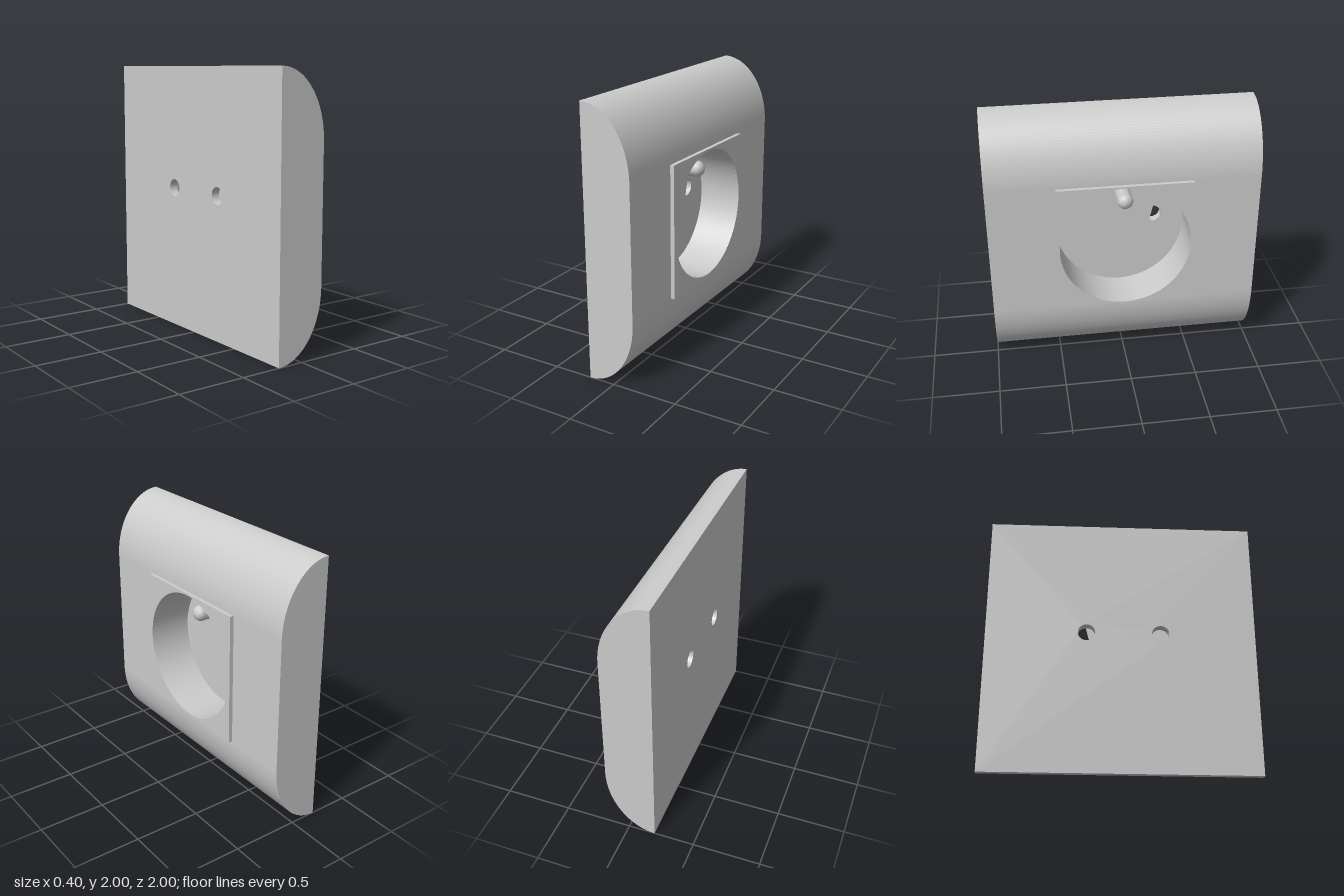
import * as THREE from 'three';

const BACK = -0.2, FLOOR = -0.135, FACE = 0.17, RIM = 0.2;
const RECESS_R = 0.488, HOLE_R = 0.065, HOLE_Y = 1.08;
const HOLE_Z = [-0.255, 0.295];
const SEG = 32;

const rect = (w, h) => new THREE.Shape([
  new THREE.Vector2(-w / 2, 1 - h / 2), new THREE.Vector2(w / 2, 1 - h / 2),
  new THREE.Vector2(w / 2, 1 + h / 2), new THREE.Vector2(-w / 2, 1 + h / 2),
]);
const circle = (x, y, r) => new THREE.Path().absarc(x, y, r, 0, Math.PI * 2, false);

export function createModel() {
  const group = new THREE.Group();
  const solid = new THREE.MeshStandardMaterial({ color: 0xcccccc });
  const thin = new THREE.MeshStandardMaterial({ color: 0xcccccc, side: THREE.DoubleSide });
  const add = (name, geometry, material = solid) => {
    const mesh = new THREE.Mesh(geometry, material);
    mesh.name = name;
    group.add(mesh);
  };
  // turn a flat shape to face +x
  const facing = (geometry, x) => geometry.rotateY(Math.PI / 2).translate(x, 0, 0);
  // open tube lying along x
  const tube = (r, x0, x1, y, z, n) => new THREE.CylinderGeometry(r, r, x1 - x0, n, 1, true)
    .rotateZ(-Math.PI / 2).translate((x0 + x1) / 2, y, z);

  // curved top and bottom of the housing: quarter elliptical cylinders
  [['housingBottomCurve', 0, 0.5], ['housingTopCurve', Math.PI / 2, 1.5]].forEach(([name, start, y]) => {
    add(name, new THREE.CylinderGeometry(1, 1, 2, SEG, 1, true, start, Math.PI / 2)
      .rotateX(Math.PI / 2).scale(0.37, 0.5, 1).translate(BACK, y, 0));
  });

  // D-shaped ends
  const profile = new THREE.Shape();
  profile.moveTo(BACK, 0);
  profile.absellipse(BACK, 0.5, 0.37, 0.5, -Math.PI / 2, 0, false);
  profile.absellipse(BACK, 1.5, 0.37, 0.5, 0, Math.PI / 2, false);
  profile.closePath();
  for (const side of [1, -1]) {
    const end = new THREE.ShapeGeometry(profile, SEG).translate(0, 0, 1);
    add(side > 0 ? 'housingLeftEnd' : 'housingRightEnd',
      side > 0 ? end : end.rotateY(Math.PI).scale(-1, 1, 1), thin);
  }

  // flat face around the recess
  const face = rect(2, 1);
  face.holes.push(circle(0, 1, RECESS_R));
  add('housingFace', facing(new THREE.ShapeGeometry(face, SEG), FACE));

  // back panel with two round contact holes
  const back = rect(2, 2);
  HOLE_Z.forEach((z) => back.holes.push(circle(z, HOLE_Y, HOLE_R)));
  add('backPanel', new THREE.ShapeGeometry(back, 12).rotateY(-Math.PI / 2).translate(BACK, 0, 0));
  HOLE_Z.forEach((z) => add('contactTube', tube(HOLE_R, BACK, FLOOR, HOLE_Y, z, 24), thin));

  // raised square plate
  const plate = rect(1, 1);
  plate.holes.push(circle(0, 1, RECESS_R));
  add('raisedPlate', facing(new THREE.ExtrudeGeometry(plate,
    { depth: RIM - FACE, bevelEnabled: false, curveSegments: SEG }), FACE));

  // round recess, its floor open over part of one contact hole
  add('recessWall', tube(RECESS_R, FLOOR, FACE, 1, 0, 64), thin);
  const floor = new THREE.Shape();
  floor.absarc(0, 1, RECESS_R, 0, Math.PI * 2, false);
  const slot = new THREE.Path();
  slot.absarc(-HOLE_Z[0], HOLE_Y, HOLE_R, -1.98, 1.48, false);
  slot.closePath();
  floor.holes.push(slot);
  add('recessFloor', facing(new THREE.ShapeGeometry(floor, SEG), FLOOR), thin);

  // earth pin with a domed tip
  const pin = [new THREE.Vector2(0.06, FLOOR)];
  for (let i = 0; i <= 4; i++) {
    const a = (i / 4) * Math.PI / 2;
    pin.push(new THREE.Vector2(0.06 * Math.cos(a), 0.1 + 0.05 * Math.sin(a)));
  }
  add('earthPin', new THREE.LatheGeometry(pin, 10).rotateZ(-Math.PI / 2).translate(0, 1.33, -0.01));

  return group;
}
